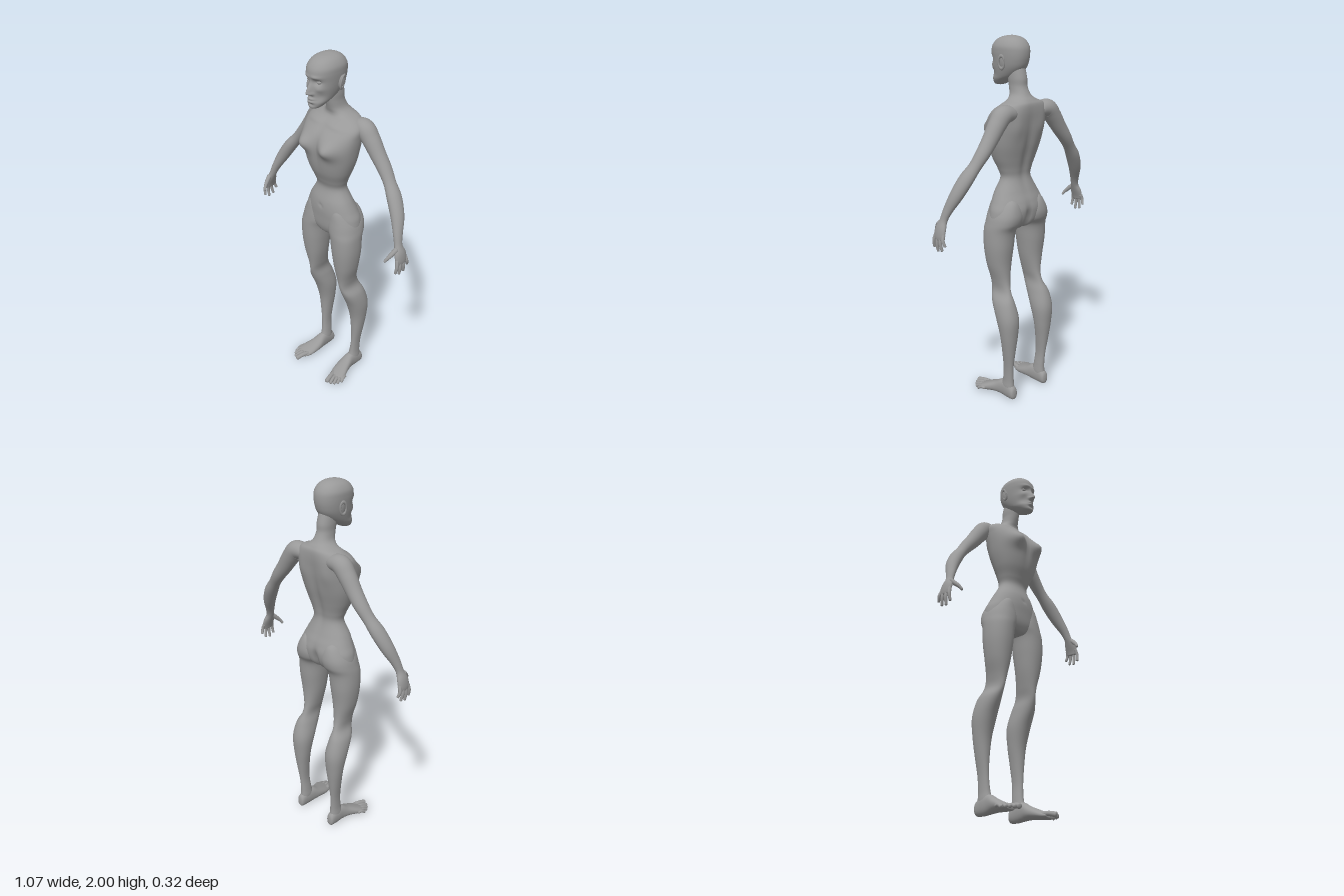
import * as THREE from 'three';

const grey = new THREE.MeshStandardMaterial({ color: 0x999999 });
grey.name = 'clay grey';

const bell = (d, w) => Math.exp(-((d / w) ** 2));

// Smooth interpolation through rows of numbers, u in 0..1
function sample(rows, u) {
  const f = u * (rows.length - 1), i = Math.min(Math.floor(f), rows.length - 2), t = f - i;
  const [a, b, c, d] = [-1, 0, 1, 2].map(k => rows[Math.min(rows.length - 1, Math.max(0, i + k))]);
  return b.map((_, k) => {
    const m = (c[k] - a[k]) / 2, n = (d[k] - b[k]) / 2, e = c[k] - b[k];
    return b[k] + t * (m + t * (3 * e - 2 * m - n + t * (m + n - 2 * e)));
  });
}

// Closed skin over steps+1 rings; point(u, angle) gives each vertex
function skin(steps, seg, flip, point) {
  const pos = [], idx = [];
  const tri = (a, b, c) => (flip ? idx.push(a, c, b) : idx.push(a, b, c));
  for (let i = 0; i <= steps; i++)
    for (let j = 0; j < seg; j++) pos.push(...point(i / steps, (j / seg) * Math.PI * 2));
  for (let i = 0; i < steps; i++)
    for (let j = 0; j < seg; j++) {
      const a = i * seg + j, b = i * seg + ((j + 1) % seg);
      tri(a, b, b + seg);
      tri(a, b + seg, a + seg);
    }
  // end caps
  for (const end of [0, steps]) {
    const mid = [0, 0, 0], start = end * seg, centre = pos.length / 3;
    for (let j = 0; j < seg; j++) for (let k = 0; k < 3; k++) mid[k] += pos[(start + j) * 3 + k] / seg;
    pos.push(...mid);
    for (let j = 0; j < seg; j++) {
      const a = start + j, b = start + ((j + 1) % seg);
      end ? tri(a, b, centre) : tri(b, a, centre);
    }
  }
  const geo = new THREE.BufferGeometry();
  geo.setAttribute('position', new THREE.Float32BufferAttribute(pos, 3));
  geo.setIndex(idx);
  geo.computeVertexNormals();
  return geo;
}

// Rows: [height, left edge, right edge, near edge, far edge], stacked along y or z
function loft(rows, { axis = 'y', steps = 80, seg = 48, p = 2.2, deform } = {}) {
  const bend = s => Math.sign(s) * Math.abs(s) ** (2 / p);
  return skin(steps, seg, axis === 'y', (u, ang) => {
    const [h, a0, a1, b0, b1] = sample(rows, u);
    const a = (a0 + a1) / 2 + (a1 - a0) / 2 * bend(Math.cos(ang));
    const b = (b0 + b1) / 2 + (b1 - b0) / 2 * bend(Math.sin(ang));
    const v = axis === 'y' ? new THREE.Vector3(a, h, b) : new THREE.Vector3(a, b, h);
    if (deform) deform(v);
    return v.toArray();
  });
}

// Rows: [x, y, z, radius towards z, radius across], rounded at both ends
function limb(rows, { steps = 24, seg = 14, cap = 12, ref = [0, 0, 1] } = {}) {
  const at = u => new THREE.Vector3(...sample(rows, u).slice(0, 3));
  return skin(steps, seg, false, (w, ang) => {
    const u = 0.5 - 0.5 * Math.cos(w * Math.PI);
    const row = sample(rows, u);
    const t = at(Math.min(1, u + 0.01)).sub(at(Math.max(0, u - 0.01))).normalize();
    const n = new THREE.Vector3(...ref);
    n.addScaledVector(t, -n.dot(t)).normalize();
    const b = t.clone().cross(n);
    const end = Math.min(1, Math.min(u, 1 - u) * cap);
    const r = Math.sqrt(Math.max(0.0004, 1 - (1 - end) ** 2));
    return new THREE.Vector3(row[0], row[1], row[2])
      .addScaledVector(n, Math.cos(ang) * row[3] * r)
      .addScaledVector(b, Math.sin(ang) * row[4] * r).toArray();
  });
}

function mirrored(geo) {
  const g = geo.clone().scale(-1, 1, 1), a = g.index.array;
  for (let i = 0; i < a.length; i += 3) [a[i + 1], a[i + 2]] = [a[i + 2], a[i + 1]];
  return g;
}

export function createModel() {
  const model = new THREE.Group();
  model.name = 'standing figure';
  const add = (name, geo) => {
    const m = new THREE.Mesh(geo, grey);
    m.name = name;
    model.add(m);
  };
  const pair = (name, geo) => {
    add('left ' + name, geo);
    add('right ' + name, mirrored(geo));
  };
  const centred = rows => rows.map(([y, w, b, f]) => [y, -w, w, b, f]);

  // Torso and neck
  add('torso', loft(centred([
    [0.985, 0.02, -0.04, 0.03], [1.0, 0.09, -0.08, 0.05], [1.04, 0.172, -0.115, 0.065],
    [1.1, 0.176, -0.128, 0.07], [1.15, 0.155, -0.118, 0.072], [1.2, 0.13, -0.098, 0.066],
    [1.27, 0.092, -0.076, 0.046], [1.32, 0.103, -0.08, 0.06], [1.38, 0.13, -0.095, 0.084],
    [1.45, 0.153, -0.115, 0.1], [1.52, 0.166, -0.128, 0.108], [1.58, 0.172, -0.134, 0.092],
    [1.63, 0.17, -0.138, 0.05], [1.665, 0.13, -0.136, 0.012], [1.685, 0.08, -0.125, 0.003],
    [1.71, 0.05, -0.105, 0.008], [1.75, 0.041, -0.086, 0.018], [1.79, 0.042, -0.083, 0.025],
    [1.84, 0.04, -0.07, 0.03],
  ]), {
    steps: 120, seg: 72,
    deform(v) {
      const x = Math.abs(v.x);
      if (v.z > 0) {
        v.z += 0.038 * bell(x - 0.085, 0.045) * bell(v.y - 1.53, 0.042);   // breasts
        v.z -= 0.01 * bell(x, 0.02) * bell(v.y - 1.53, 0.1);               // breastbone
        v.z -= 0.006 * bell(x, 0.008) * bell(v.y - 1.17, 0.01);            // navel
        v.z += 0.007 * bell(v.y - 1.645 + x * 0.08, 0.012) * bell(x - 0.07, 0.05); // collarbones
      } else if (v.z < -0.03) {
        v.z -= 0.012 * bell(x - 0.09, 0.04) * bell(v.y - 1.56, 0.07);      // shoulder blades
        v.z += 0.012 * bell(x, 0.025) * bell(v.y - 1.42, 0.17);            // spine
        v.z += 0.03 * bell(x, 0.016) * bell(v.y - 1.05, 0.06);             // cleft
      }
    },
  }));

  // Head with sculpted face
  add('head', loft(centred([
    [1.745, 0.012, 0.09, 0.122], [1.752, 0.03, 0.065, 0.13], [1.775, 0.048, 0.02, 0.132],
    [1.8, 0.058, -0.03, 0.128], [1.84, 0.069, -0.07, 0.127], [1.88, 0.076, -0.086, 0.126],
    [1.92, 0.08, -0.09, 0.13], [1.95, 0.078, -0.084, 0.122], [1.977, 0.062, -0.064, 0.098],
    [1.993, 0.038, -0.035, 0.062], [2.0, 0.008, 0.0, 0.02],
  ]), {
    steps: 130, seg: 100,
    deform(v) {
      if (v.z < 0.04) return;
      const x = Math.abs(v.x), y = v.y;
      const ridge = y > 1.828 ? bell(y - 1.828, 0.04) : bell(y - 1.828, 0.009);
      v.z += 0.032 * ridge * bell(x, 0.012);                               // nose
      v.z += 0.01 * bell(x - 0.013, 0.007) * bell(y - 1.824, 0.008);       // nostrils
      v.z -= 0.014 * bell(x - 0.033, 0.018) * bell(y - 1.882, 0.013);      // eye sockets
      v.z += 0.006 * bell(x - 0.03, 0.025) * bell(y - 1.907, 0.009);       // brows
      v.z += 0.006 * bell(x - 0.048, 0.016) * bell(y - 1.848, 0.014);      // cheekbones
      v.z -= 0.008 * bell(x - 0.045, 0.018) * bell(y - 1.81, 0.02);        // cheeks
      v.z += 0.009 * bell(x, 0.02) * (bell(y - 1.797, 0.006) + bell(y - 1.783, 0.006)); // lips
      v.z -= 0.006 * bell(x, 0.02) * bell(y - 1.768, 0.007);               // chin crease
    },
  }));
  pair('eye', new THREE.SphereGeometry(0.013, 20, 14).scale(1.1, 0.75, 1).translate(0.033, 1.882, 0.1));

  // Ears: flattened lobe with a raised rim
  const place = g => g.rotateZ(-0.12).rotateX(-0.15).translate(0.081, 1.872, -0.002);
  pair('ear', place(new THREE.SphereGeometry(1, 16, 12).scale(0.008, 0.036, 0.02)));
  pair('ear rim', place(new THREE.TorusGeometry(0.017, 0.005, 8, 24).scale(1, 1.9, 1).rotateY(Math.PI / 2).rotateY(0.3).translate(0.006, 0, 0)));

  // Arms, from the shoulder to the palm
  pair('arm', limb([
    [0.08, 1.622, -0.088, 0.04, 0.034], [0.155, 1.624, -0.088, 0.05, 0.049],
    [0.2, 1.58, -0.09, 0.047, 0.047], [0.25, 1.512, -0.092, 0.041, 0.041],
    [0.3, 1.45, -0.092, 0.038, 0.035], [0.345, 1.392, -0.084, 0.034, 0.03],
    [0.392, 1.332, -0.07, 0.041, 0.034], [0.438, 1.255, -0.048, 0.037, 0.032],
    [0.472, 1.18, -0.02, 0.027, 0.022], [0.49, 1.13, -0.007, 0.023, 0.018],
    [0.507, 1.09, -0.004, 0.036, 0.018], [0.517, 1.055, -0.004, 0.038, 0.014],
    [0.52, 1.03, -0.005, 0.03, 0.01],
  ], { steps: 90, seg: 32, cap: 30 }));

  // Fingers and thumb: [base z, tip z, tip y]
  [[0.024, 0.036, 0.985], [0.005, 0.007, 0.968], [-0.014, -0.024, 0.975], [-0.033, -0.05, 1.005]]
    .forEach(([z0, z1, y1], i) => pair('finger ' + (i + 1), limb([
      [0.514, 1.065, z0, 0.01, 0.01], [0.524, (1.065 + y1) / 2, (z0 + z1) / 2 + 0.002, 0.009, 0.009],
      [0.518, y1, z1, 0.007, 0.007],
    ])));
  pair('thumb', limb([
    [0.5, 1.12, 0.01, 0.014, 0.013], [0.49, 1.09, 0.042, 0.012, 0.012],
    [0.482, 1.072, 0.06, 0.009, 0.009], [0.472, 1.052, 0.072, 0.007, 0.007],
  ], { ref: [1, 0, 0] }));

  // Legs, from the hip to the ankle
  pair('leg', loft([
    [1.19, 0.075, 0.105, -0.06, 0.03], [1.15, 0.035, 0.14, -0.11, 0.058],
    [1.09, 0.006, 0.174, -0.13, 0.068], [1.04, 0.006, 0.188, -0.125, 0.073],
    [0.99, 0.032, 0.195, -0.1, 0.075], [0.9, 0.045, 0.195, -0.092, 0.072],
    [0.8, 0.06, 0.181, -0.082, 0.06], [0.71, 0.08, 0.157, -0.084, 0.044],
    [0.65, 0.093, 0.152, -0.1, 0.035], [0.59, 0.084, 0.18, -0.13, 0.015],
    [0.5, 0.075, 0.19, -0.155, -0.025], [0.4, 0.085, 0.18, -0.151, -0.053],
    [0.3, 0.099, 0.165, -0.14, -0.06], [0.2, 0.108, 0.15, -0.127, -0.06],
    [0.12, 0.102, 0.147, -0.123, -0.053], [0.07, 0.098, 0.15, -0.126, -0.04],
    [0.025, 0.105, 0.145, -0.128, -0.05],
  ].reverse(), { steps: 100, seg: 44 }));

  // Feet
  pair('foot', loft([
    [-0.142, 0.117, 0.133, 0.022, 0.045], [-0.132, 0.102, 0.148, 0.004, 0.075],
    [-0.09, 0.097, 0.152, 0, 0.1], [-0.045, 0.092, 0.155, 0.003, 0.1],
    [0.0, 0.087, 0.167, 0.006, 0.075], [0.05, 0.09, 0.187, 0.002, 0.052],
    [0.085, 0.1, 0.195, 0, 0.036], [0.108, 0.112, 0.178, 0.005, 0.025],
  ], { axis: 'z', steps: 50, seg: 36 }));

  // Toes: [base x, base z, tip x, tip z, radius]
  [[0.115, 0.07, 0.137, 0.159, 0.014], [0.138, 0.075, 0.16, 0.15, 0.01], [0.156, 0.07, 0.177, 0.136, 0.0095],
    [0.172, 0.06, 0.189, 0.118, 0.009], [0.184, 0.045, 0.197, 0.094, 0.009]]
    .forEach(([x0, z0, x1, z1, r], i) => pair('toe ' + (i + 1), limb([
      [x0, 0.022, z0, r, r], [(x0 + x1) / 2, 0.024, (z0 + z1) / 2, r * 0.95, r * 0.95],
      [x1, r, z1, r, r],
    ], { ref: [0, 1, 0], cap: 9 })));

  return model;
}
